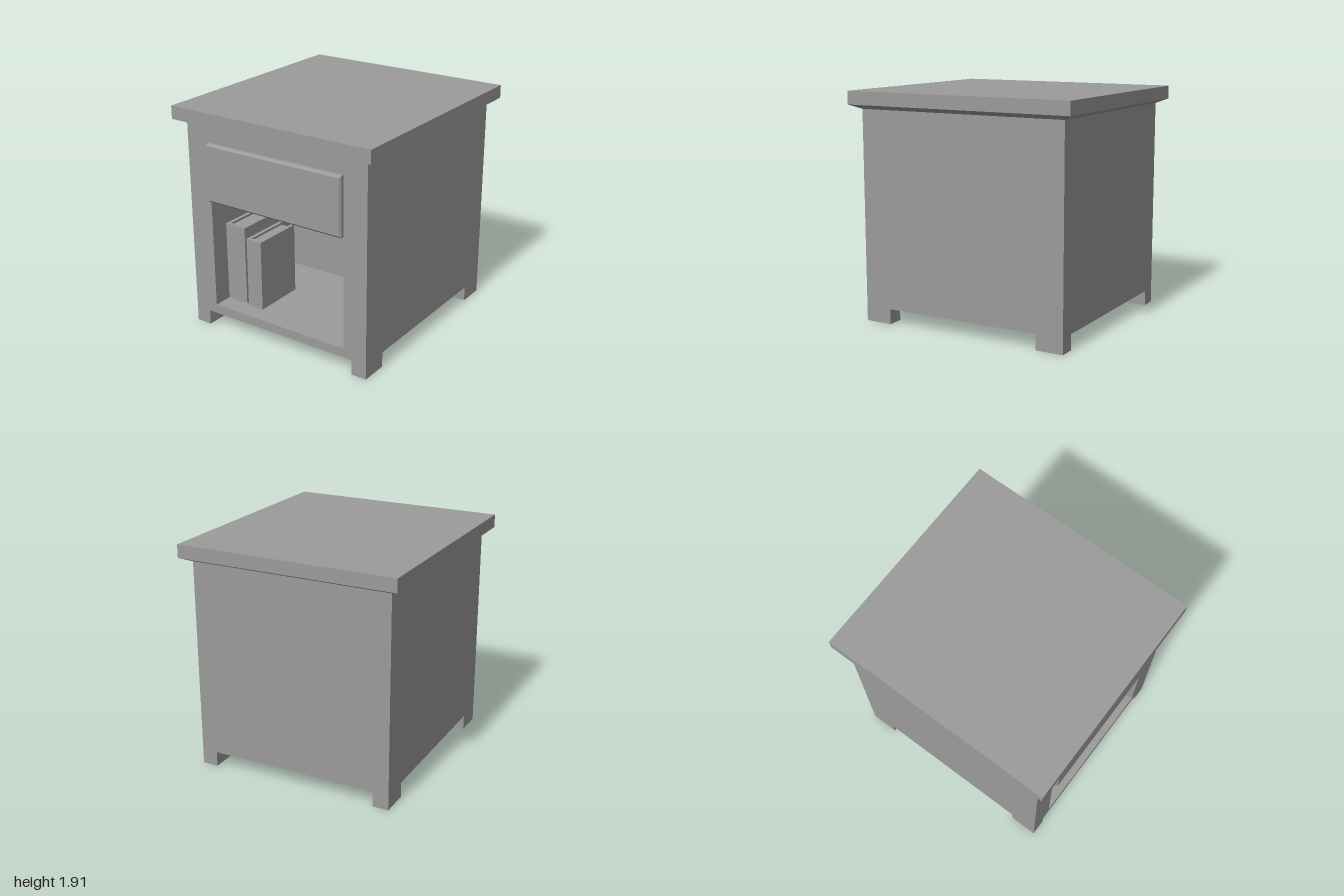
import * as THREE from 'three';

const W = 0.855, D = 0.915, FOOT = 0.127, TOP = 1.765; // cabinet half width, half depth, foot height, top
const LEG_W = 0.135, LEG_D = 0.235;
const grey = new THREE.MeshStandardMaterial({ color: 0x9b9b9b });
const greyInside = new THREE.MeshStandardMaterial({ color: 0x9b9b9b, side: THREE.BackSide });

function add(parent, name, geometry, material = grey) {
  const mesh = new THREE.Mesh(geometry, material);
  mesh.name = name;
  parent.add(mesh);
}

// Box from min/max corners; dropped faces are numbered +x, -x, +y, -y, +z, -z
function box([x0, y0, z0], [x1, y1, z1], dropped = []) {
  const g = new THREE.BoxGeometry(x1 - x0, y1 - y0, z1 - z0);
  g.translate((x0 + x1) / 2, (y0 + y1) / 2, (z0 + z1) / 2);
  const index = Array.from(g.index.array);
  g.setIndex(index.filter((_, i) => !dropped.includes(Math.floor(i / 6))));
  g.clearGroups();
  return g;
}

// Stack of rectangles [halfX, halfZ, y], flat shaded and closed on top
function rectLoft(rings) {
  const pts = rings.map(([x, z, y]) => [[-x, y, -z], [-x, y, z], [x, y, z], [x, y, -z]]);
  const out = [];
  const quad = (a, b, c, d) => out.push(...a, ...b, ...c, ...a, ...c, ...d);
  for (let r = 0; r < pts.length - 1; r++) {
    for (let i = 0; i < 4; i++) {
      const j = (i + 1) % 4;
      quad(pts[r][i], pts[r][j], pts[r + 1][j], pts[r + 1][i]);
    }
  }
  quad(...pts[pts.length - 1]);
  const g = new THREE.BufferGeometry();
  g.setAttribute('position', new THREE.Float32BufferAttribute(out, 3));
  g.computeVertexNormals();
  return g;
}

// Panel outline with a foot at either end
function panelShape(w, leg) {
  return new THREE.Shape([
    [-w, 0], [-w + leg, 0], [-w + leg, FOOT], [w - leg, FOOT],
    [w - leg, 0], [w, 0], [w, TOP], [-w, TOP],
  ].map(([x, y]) => new THREE.Vector2(x, y)));
}

// Upright book, spine to the front: two covers, a spine and recessed pages
function makeBook(name, x0, x1, y0, y1, z0, z1) {
  const book = new THREE.Group();
  book.name = name;
  const t = 0.03, inset = 0.02;
  add(book, 'leftCover', box([x1 - t, y0, z0], [x1, y1, z1]));
  add(book, 'rightCover', box([x0, y0, z0], [x0 + t, y1, z1]));
  add(book, 'spine', box([x0 + t, y0, z1 - t], [x1 - t, y1, z1], [0, 1]));
  add(book, 'pages', box([x0 + t, y0 + inset, z0 + inset], [x1 - t, y1 - inset, z1 - t], [0, 1, 4]));
  return book;
}

export function createModel() {
  const model = new THREE.Group();
  model.name = 'nightstand';

  // Cabinet panels
  const front = panelShape(W, LEG_W);
  front.holes.push(new THREE.Path([
    [-0.64, 0.205], [-0.64, 1.146], [0.645, 1.146], [0.645, 0.205],
  ].map(([x, y]) => new THREE.Vector2(x, y))));
  add(model, 'frontPanel', new THREE.ShapeGeometry(front).translate(0, 0, D));
  const back = new THREE.ShapeGeometry(panelShape(W, LEG_W));
  add(model, 'backPanel', back.rotateY(Math.PI).translate(0, 0, -D));
  for (const s of [-1, 1]) {
    const side = new THREE.ShapeGeometry(panelShape(D, LEG_D));
    add(model, s > 0 ? 'leftPanel' : 'rightPanel', side.rotateY(s * Math.PI / 2).translate(s * W, 0, 0));
  }
  const underside = new THREE.PlaneGeometry(2 * W, 2 * D);
  add(model, 'underside', underside.rotateX(Math.PI / 2).translate(0, FOOT, 0));

  // Inner faces and soles of the four feet
  for (const sx of [-1, 1]) {
    for (const sz of [-1, 1]) {
      const x = [sx * W, sx * (W - LEG_W)].sort((a, b) => a - b);
      const z = [sz * D, sz * (D - LEG_D)].sort((a, b) => a - b);
      add(model, 'foot', box([x[0], 0, z[0]], [x[1], FOOT, z[1]], [sx > 0 ? 0 : 1, 2, sz > 0 ? 4 : 5]));
    }
  }

  // Open shelf compartment, seen from inside
  add(model, 'shelfCompartment', box([-0.64, 0.205, -0.11], [0.645, 1.146, D], [4]), greyInside);

  // Table top with a sloping underside
  add(model, 'tableTop', rectLoft([[W, D, TOP], [0.935, 1, 1.802], [0.935, 1, 1.912]]));

  // Drawer front with a narrow bevelled rim
  const drawer = rectLoft([[0.6425, 0.247, 0], [0.6425, 0.247, 0.024], [0.63, 0.23, 0.04]]);
  add(model, 'drawerFront', drawer.rotateX(Math.PI / 2).translate(0.0025, 1.393, D));

  // Books on the shelf
  model.add(makeBook('tallBook', -0.632, -0.437, 0.21, 0.895, 0.26, 0.76));
  model.add(makeBook('shortBook', -0.394, -0.248, 0.22, 0.825, 0.34, 0.79));

  return model;
}
